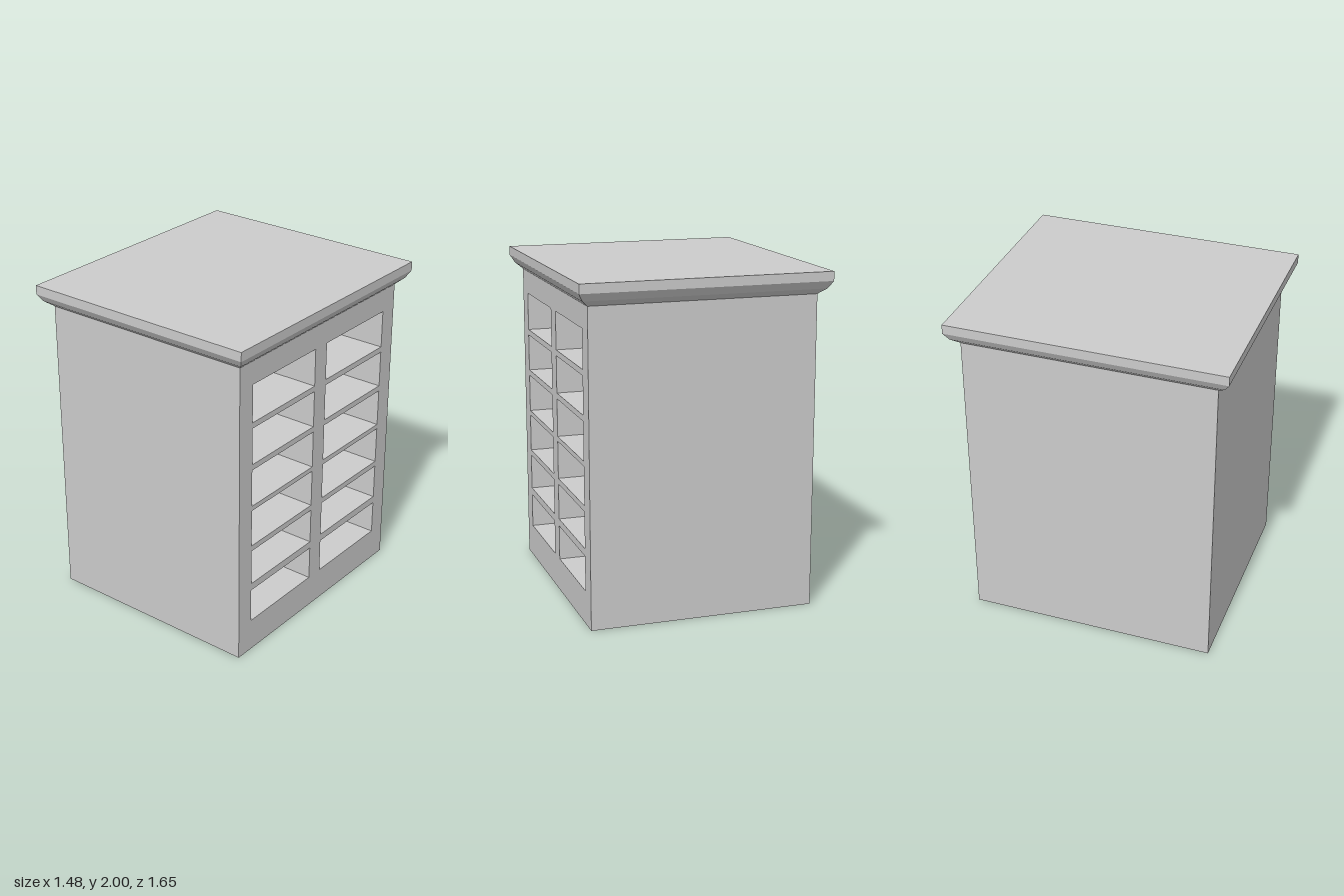
import * as THREE from 'three';

const material = new THREE.MeshStandardMaterial({ color: 0xcccccc, flatShading: true });

const HALF_X = 0.675, HALF_Z = 0.75, BODY_TOP = 1.865, BACK = 0.12;

// Counter-clockwise rectangle outline
function trace(path, x0, y0, x1, y1) {
  path.moveTo(x0, y0);
  path.lineTo(x1, y0);
  path.lineTo(x1, y1);
  path.lineTo(x0, y1);
  path.closePath();
  return path;
}

// Cabinet carcass with two columns of open compartments facing +x
function carcass() {
  const shape = trace(new THREE.Shape(), -HALF_Z, 0, HALF_Z, BODY_TOP);
  const rows = [[0.2, 0.41], [0.455, 0.675], [0.71, 0.94], [0.97, 1.2], [1.235, 1.46], [1.495, 1.725]];
  for (const [y0, y1] of rows) {
    for (const [a, b] of [[-0.635, -0.055], [0.055, 0.635]]) {
      shape.holes.push(trace(new THREE.Path(), a, y0, b, y1));
    }
  }
  const geometry = new THREE.ExtrudeGeometry(shape, { depth: 2 * HALF_X - BACK, bevelEnabled: false });
  geometry.rotateY(Math.PI / 2);
  geometry.translate(BACK - HALF_X, 0, 0);
  return geometry;
}

// Moulded top: rectangular loops widening upward, [height, overhang]
function cornice() {
  const profile = [[BODY_TOP, 0], [1.9, 0.043], [1.945, 0.07], [2, 0.07]];
  const positions = [], index = [];
  for (const [y, o] of profile) {
    const x = HALF_X + o * 0.95, z = HALF_Z + o * 1.07;
    positions.push(x, y, z, x, y, -z, -x, y, -z, -x, y, z);
  }
  for (let r = 0; r < profile.length - 1; r++) {
    for (let i = 0; i < 4; i++) {
      const a = r * 4 + i, b = r * 4 + (i + 1) % 4;
      index.push(a, b, b + 4, a, b + 4, a + 4);
    }
  }
  const t = (profile.length - 1) * 4;
  index.push(t, t + 1, t + 2, t, t + 2, t + 3); // top
  index.push(0, 2, 1, 0, 3, 2); // underside
  const indexed = new THREE.BufferGeometry();
  indexed.setAttribute('position', new THREE.Float32BufferAttribute(positions, 3));
  indexed.setIndex(index);
  const geometry = indexed.toNonIndexed();
  geometry.computeVertexNormals();
  return geometry;
}

export function createModel() {
  const model = new THREE.Group();
  model.name = 'shelfCabinet';
  const add = (name, geometry) => {
    const mesh = new THREE.Mesh(geometry, material);
    mesh.name = name;
    model.add(mesh);
    return mesh;
  };

  add('carcass', carcass());

  // Panel closing the compartments at the far side
  add('backPanel', new THREE.BoxGeometry(BACK, BODY_TOP, 2 * HALF_Z))
    .position.set(-HALF_X + BACK / 2, BODY_TOP / 2, 0);

  add('cornice', cornice());
  return model;
}
